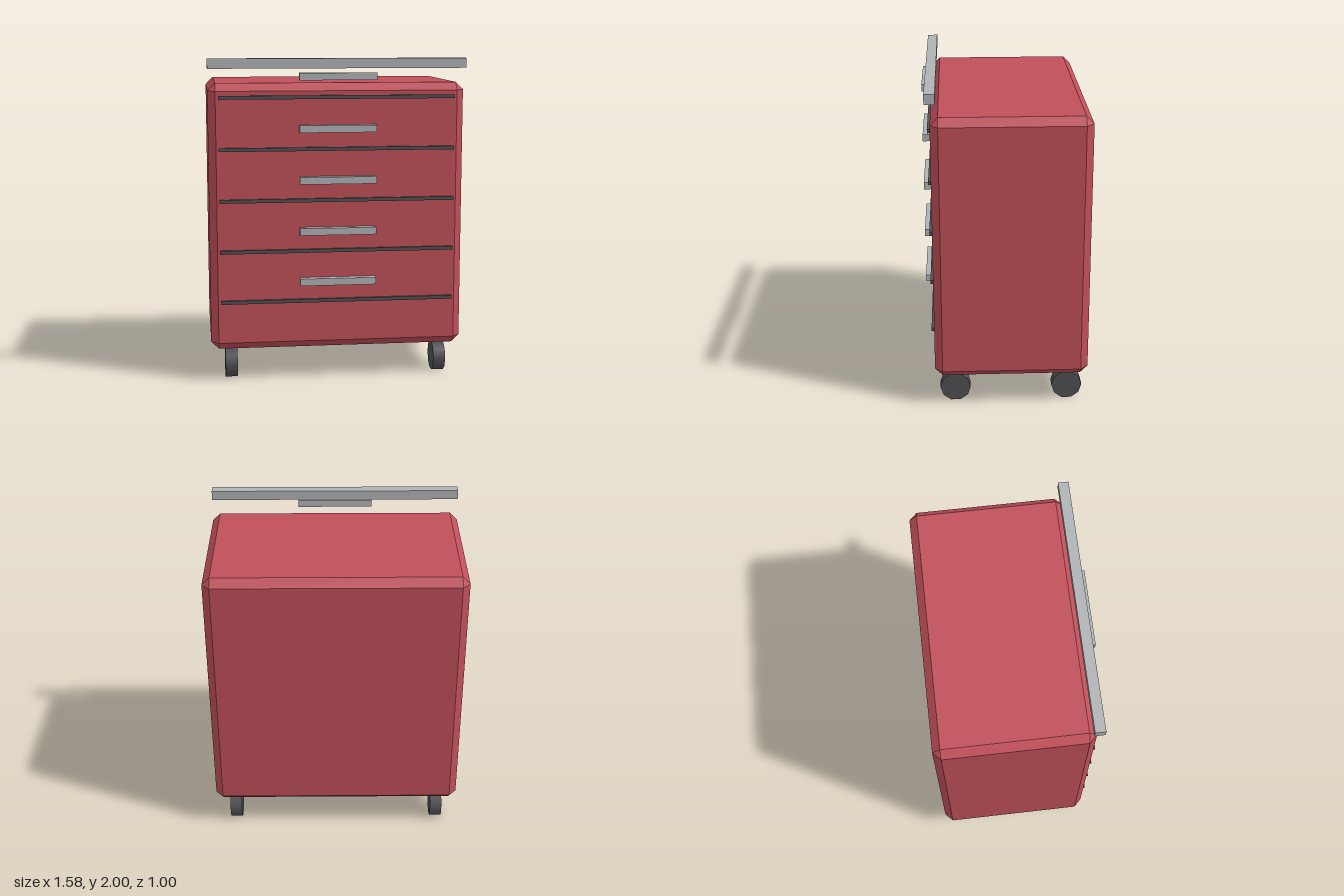
import * as THREE from 'three';
import { ConvexGeometry } from 'three/addons/geometries/ConvexGeometry.js';

const material = (color) => new THREE.MeshStandardMaterial({ color });

// Box with every edge cut by a flat chamfer, centred on the origin
function chamferedBox(w, h, d, c) {
  const points = [];
  for (const sx of [-1, 1]) for (const sy of [-1, 1]) for (const sz of [-1, 1]) {
    const x = w / 2, y = h / 2, z = d / 2;
    for (const [px, py, pz] of [[x, y - c, z - c], [x - c, y, z - c], [x - c, y - c, z]]) {
      points.push(new THREE.Vector3(sx * px, sy * py, sz * pz));
    }
  }
  return new ConvexGeometry(points);
}

export function createModel() {
  const group = new THREE.Group();
  const red = material(0xc04f59);
  const metal = material(0xb0b3b6);
  const dark = material(0x505054);

  const add = (name, geometry, mat, x, y, z) => {
    const mesh = new THREE.Mesh(geometry, mat);
    mesh.name = name;
    mesh.position.set(x, y, z);
    group.add(mesh);
    return mesh;
  };

  // Cabinet
  add('cabinetBody', chamferedBox(1.575, 1.654, 0.945, 0.047), red, 0, 1.024, -0.0275);

  // Five drawers, each with a dark seam and a bar handle above it
  const seam = new THREE.BoxGeometry(1.449, 0.022, 0.032);
  const handle = new THREE.BoxGeometry(0.472, 0.044, 0.047);
  for (let i = 0; i < 5; i++) {
    const y = 0.504 + i * 0.3155;
    add('drawerSeam' + (i + 1), seam, dark, 0, y, 0.445);
    add('drawerHandle' + (i + 1), handle, metal, 0, y + 0.126, 0.4765);
  }

  // Push rail above the front edge
  add('pushRail', new THREE.BoxGeometry(1.575, 0.06, 0.063), metal, 0, 1.97, 0.4435);

  // Four ten-sided wheels with axles along x
  const wheel = new THREE.CylinderGeometry(0.0945, 0.0945, 0.076, 10);
  wheel.rotateZ(Math.PI / 2);
  for (const [side, x] of [['Left', 0.662], ['Right', -0.662]]) {
    add('frontWheel' + side, wheel, dark, x, 0.09, 0.32);
    add('backWheel' + side, wheel, dark, x, 0.09, -0.375);
  }

  return group;
}
